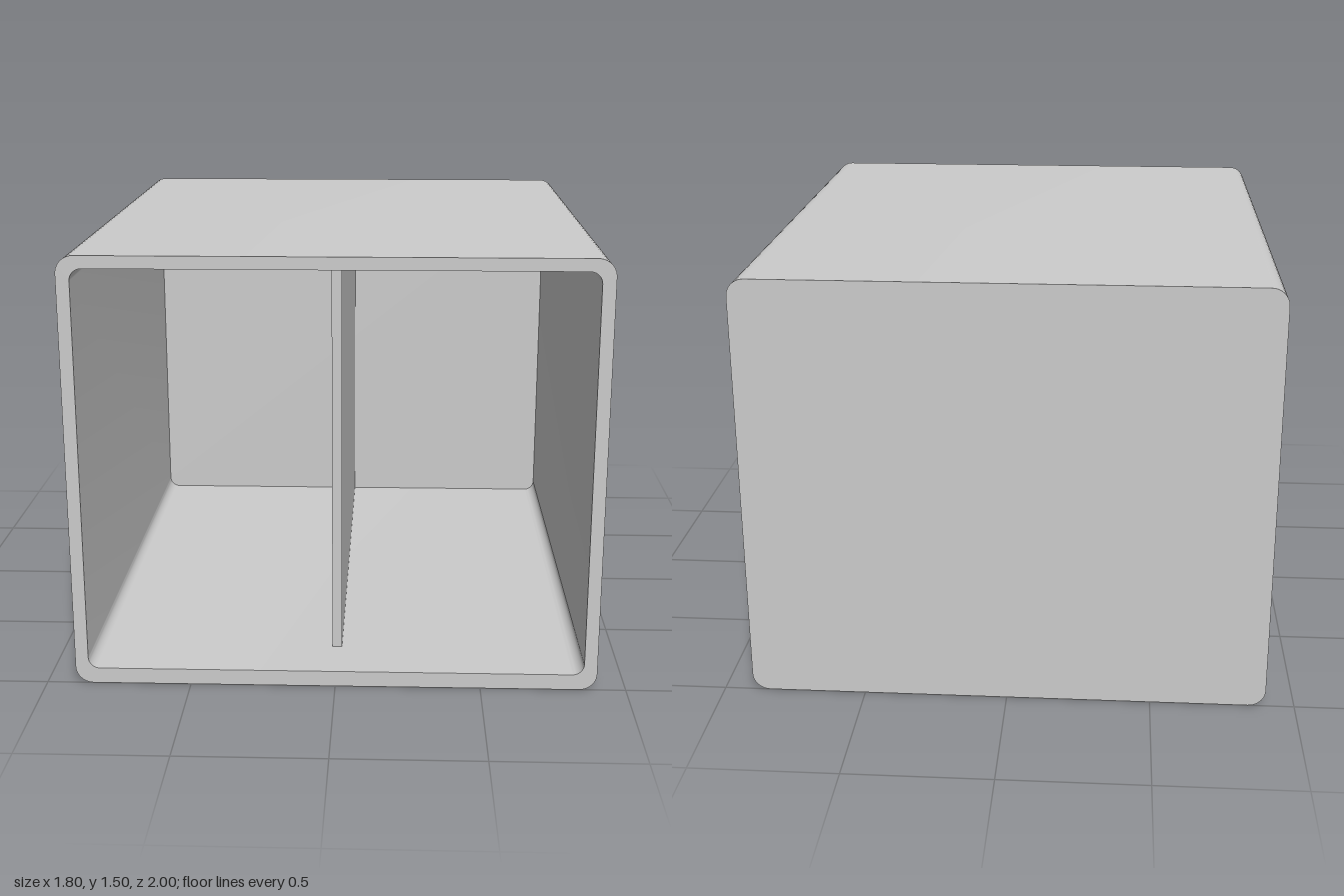
import * as THREE from 'three';
import { mergeGeometries, toCreasedNormals } from 'three/addons/utils/BufferGeometryUtils.js';

// Counter-clockwise outline of a rounded rectangle
function roundedOutline(x, y0, y1, r, steps = 10) {
  const centres = [[x - r, y1 - r], [r - x, y1 - r], [r - x, y0 + r], [x - r, y0 + r]];
  const points = [];
  centres.forEach(([cx, cy], corner) => {
    for (let i = 0; i <= steps; i++) {
      const a = (corner + i / steps) * Math.PI / 2;
      points.push(new THREE.Vector2(cx + r * Math.cos(a), cy + r * Math.sin(a)));
    }
  });
  return points;
}

// Walls along an outline; swapping zA and zB turns them inward
function walls(points, zA, zB) {
  const pos = [];
  points.forEach((a, i) => {
    const b = points[(i + 1) % points.length];
    pos.push(a.x, a.y, zA, b.x, b.y, zA, b.x, b.y, zB);
    pos.push(a.x, a.y, zA, b.x, b.y, zB, a.x, a.y, zB);
  });
  const geo = new THREE.BufferGeometry();
  geo.setAttribute('position', new THREE.Float32BufferAttribute(pos, 3));
  return geo;
}

// Flat face at depth z, optionally with a hole or facing backward
function face(points, z, hole, backward) {
  const shape = new THREE.Shape(points);
  if (hole) shape.holes.push(new THREE.Path(hole));
  const geo = new THREE.ShapeGeometry(shape).toNonIndexed();
  if (backward) geo.rotateY(Math.PI);
  geo.translate(0, 0, z);
  geo.deleteAttribute('normal');
  geo.deleteAttribute('uv');
  return geo;
}

export function createModel() {
  const group = new THREE.Group();
  const grey = new THREE.MeshStandardMaterial({ color: 0xcccccc });
  grey.name = 'grey';

  const outer = roundedOutline(0.9, 0, 1.5, 0.06);
  const inner = roundedOutline(0.855, 0.055, 1.457, 0.04);
  const backInside = -0.95;

  // Hollow case, open at the front and closed at the back
  const shell = toCreasedNormals(mergeGeometries([
    walls(outer, -1, 1),
    walls(inner, 1, backInside),
    face(outer, 1, inner),
    face(outer, -1, null, true),
    face(inner, backInside),
  ]), Math.PI / 6);
  const caseMesh = new THREE.Mesh(shell, grey);
  caseMesh.name = 'case';
  group.add(caseMesh);

  // Upright divider, set back from the opening
  const front = 0.8;
  const divider = new THREE.Mesh(new THREE.BoxGeometry(0.034, 1.402, front - backInside), grey);
  divider.name = 'divider';
  divider.position.set(0, 0.756, (front + backInside) / 2);
  group.add(divider);

  return group;
}
